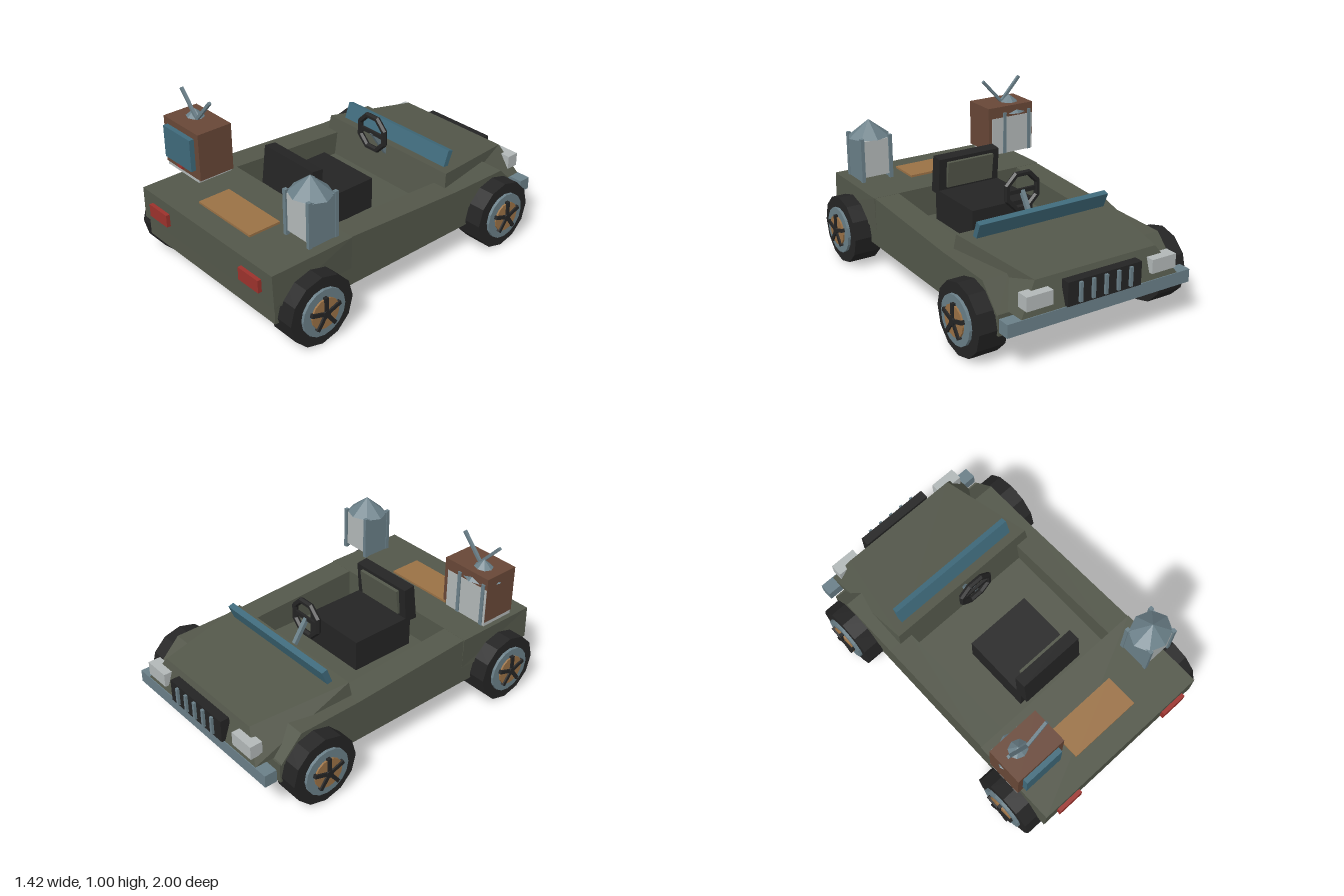
import * as THREE from 'three';

const mat = (name, color) => Object.assign(new THREE.MeshStandardMaterial({ color }), { name });

export function createModel() {
  const olive = mat('olive paint', 0x53574a), black = mat('black rubber', 0x242424);
  const steel = mat('blue grey steel', 0x6a7f88), glass = mat('teal glass', 0x3f6a7b);
  const tan = mat('tan', 0x9a7145), brown = mat('brown wood', 0x684737);
  const red = mat('red lamp', 0x9c322c), pale = mat('pale grey', 0xb2b8b8);

  const root = new THREE.Group();
  root.name = 'buggy';

  // Faceted mesh
  const add = (name, geometry, material, parent = root) => {
    const g = geometry.index ? geometry.toNonIndexed() : geometry;
    g.computeVertexNormals();
    const m = new THREE.Mesh(g, material);
    m.name = name;
    parent.add(m);
    return m;
  };
  // Box from its limits
  const box = (name, material, x0, x1, y0, y1, z0, z1, parent) =>
    add(name, new THREE.BoxGeometry(x1 - x0, y1 - y0, z1 - z0)
      .translate((x0 + x1) / 2, (y0 + y1) / 2, (z0 + z1) / 2), material, parent);
  // Mirrored block; each corner is [half width, y, z], near = +z end
  const slab = (name, material, lowNear, lowFar, topNear, topFar) => {
    const g = new THREE.BoxGeometry(1, 1, 1), p = g.attributes.position;
    for (let i = 0; i < p.count; i++) {
      const near = p.getZ(i) > 0;
      const c = p.getY(i) > 0 ? (near ? topNear : topFar) : (near ? lowNear : lowFar);
      p.setXYZ(i, Math.sign(p.getX(i)) * c[0], c[1], c[2]);
    }
    return add(name, g, material);
  };
  // Square bar between two points
  const bar = (name, material, a, b, t, parent) => {
    const A = new THREE.Vector3(...a), B = new THREE.Vector3(...b);
    const m = add(name, new THREE.BoxGeometry(t, A.distanceTo(B), t), material, parent);
    m.position.copy(A).add(B).multiplyScalar(0.5);
    m.quaternion.setFromUnitVectors(new THREE.Vector3(0, 1, 0), B.sub(A).normalize());
    return m;
  };

  // Body
  box('lowerBody', olive, -0.565, 0.565, 0.175, 0.295, -0.86, 0.96);
  slab('rearDeck', olive, [0.582, 0.285, 0.975], [0.57, 0.285, 0.45],
    [0.575, 0.48, 0.978], [0.575, 0.48, 0.45]);
  slab('hood', olive, [0.515, 0.295, -0.3], [0.5, 0.295, -0.965],
    [0.49, 0.52, -0.335], [0.385, 0.46, -0.91]);
  const profile = new THREE.Shape([
    [0.5, 0.29], [0.5, 0.48], [0.45, 0.479], [-0.335, 0.435], [-0.72, 0.43], [-0.855, 0.29],
  ].map(([z, y]) => new THREE.Vector2(z, y)));
  for (const right of [0.57, -0.415]) {
    const g = new THREE.ExtrudeGeometry(profile, { depth: 0.155, bevelEnabled: false });
    add('sidePanel', g.rotateY(-Math.PI / 2).translate(right, 0, 0), olive);
  }
  box('deckPlate', tan, -0.225, 0.225, 0.475, 0.493, 0.645, 0.845);

  // Windscreen
  slab('windscreen', glass, [0.42, 0.5, -0.385], [0.42, 0.5, -0.42],
    [0.42, 0.607, -0.425], [0.42, 0.597, -0.46]);

  // Front end
  box('bumper', steel, -0.585, 0.585, 0.22, 0.295, -0.97, -0.895);
  box('grille', black, -0.235, 0.235, 0.3, 0.435, -0.985, -0.93);
  for (let i = -2; i <= 2; i++)
    box('grilleBar', steel, i * 0.08 - 0.009, i * 0.08 + 0.009, 0.315, 0.425, -1, -0.98);

  for (const s of [-1, 1]) {
    box('headlight', pale, s * 0.397 - 0.08, s * 0.397 + 0.08, 0.335, 0.415, -0.975, -0.9);
    box('tailLight', red, s * 0.405 - 0.082, s * 0.405 + 0.082, 0.343, 0.418, 0.96, 1);
  }

  // Seat
  box('seatCushion', black, -0.205, 0.205, 0.295, 0.485, -0.035, 0.38);
  slab('seatBack', black, [0.205, 0.46, 0.428], [0.205, 0.46, 0.345],
    [0.205, 0.688, 0.4], [0.205, 0.68, 0.328]);
  slab('seatPad', olive, [0.155, 0.5, 0.36], [0.155, 0.5, 0.328],
    [0.155, 0.66, 0.345], [0.155, 0.658, 0.308]);

  // Steering
  const ring = new THREE.TorusGeometry(0.107, 0.018, 6, 8).rotateZ(Math.PI / 8);
  add('steeringWheel', ring.translate(0, 0.63, -0.225), black);
  box('steeringSpoke', black, -0.1, 0.1, 0.618, 0.642, -0.233, -0.217);
  bar('steeringColumn', steel, [0, 0.63, -0.225], [0, 0.44, -0.35], 0.024);

  // Wheels
  const disc = (name, material, r, x0, x1, n, parent) =>
    add(name, new THREE.CylinderGeometry(r, r, x1 - x0, n)
      .rotateZ(Math.PI / 2).translate((x0 + x1) / 2, 0, 0), material, parent);
  for (const s of [-1, 1]) for (const z of [0.737, -0.645]) {
    const wheel = new THREE.Group();
    wheel.name = 'wheel';
    disc('tyre', black, 0.206, -0.085, 0.085, 12, wheel);
    disc('rim', steel, 0.14, 0.06, 0.102, 16, wheel);
    disc('hubDisc', tan, 0.09, 0.08, 0.112, 16, wheel);
    disc('hub', black, 0.024, 0.1, 0.124, 10, wheel);
    for (let i = 0; i < 5; i++) {
      const spoke = box('spoke', black, 0.1, 0.122, 0, 0.1, -0.011, 0.011, wheel);
      spoke.rotation.x = i * Math.PI * 2 / 5;
    }
    wheel.position.set(s * 0.585, 0.206, z);
    if (s < 0) wheel.rotation.y = Math.PI;
    root.add(wheel);
  }

  // Lanterns floating above the rear corners
  for (const s of [-1, 1]) {
    const lantern = new THREE.Group();
    lantern.name = 'lantern';
    box('lanternGlass', pale, -0.085, 0.085, -0.08, 0.14, -0.088, 0.088, lantern);
    for (const x of [-0.09, 0.09]) {
      box('lanternSide', steel, x - 0.006, x + 0.006, -0.105, 0.15, -0.085, 0.085, lantern);
      for (const z of [-0.087, 0.087])
        box('lanternPost', steel, x - 0.011, x + 0.011, -0.105, 0.16, z - 0.011, z + 0.011, lantern);
    }
    add('lanternRoof', new THREE.ConeGeometry(0.128, 0.1, 8).scale(1, 1, 0.89)
      .translate(0, 0.195, 0), steel, lantern);
    lantern.position.set(s * 0.492, 0.65, 0.655);
    root.add(lantern);
  }

  // Television
  const tv = new THREE.Group();
  tv.name = 'television';
  root.add(tv);
  box('cabinet', brown, -0.61, -0.285, 0.568, 0.85, 0.565, 0.785, tv);
  box('cabinetBase', pale, -0.608, -0.31, 0.545, 0.78, 0.563, 0.78, tv);
  box('screen', glass, -0.575, -0.325, 0.62, 0.812, 0.78, 0.815, tv);
  box('knob', red, -0.484, -0.44, 0.583, 0.62, 0.78, 0.8, tv);
  for (const x of [-0.58, -0.314])
    bar('antenna', steel, [-0.447, 0.85, 0.675], [x, 0.995, 0.675], 0.017, tv);

  return root;
}
